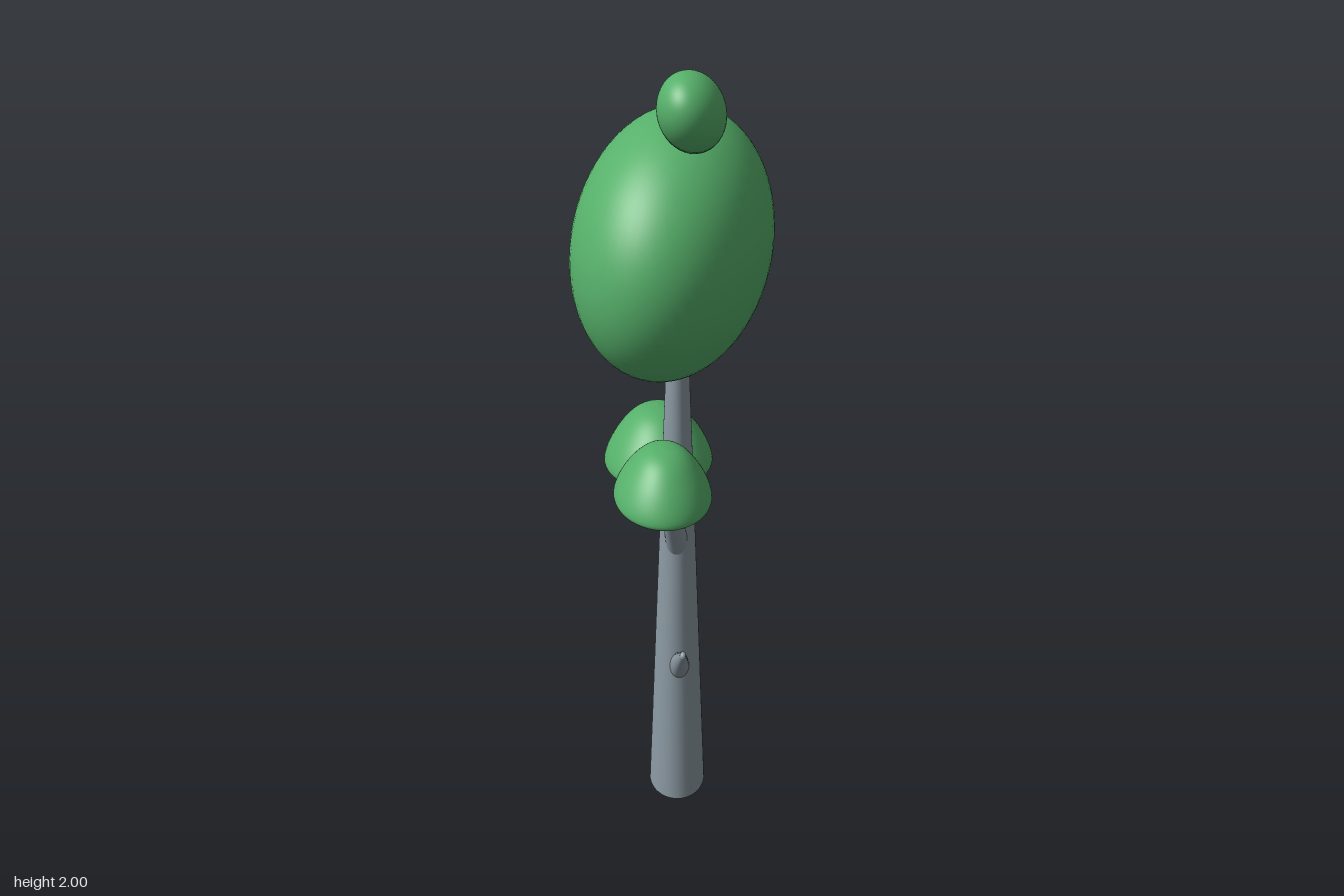
import * as THREE from 'three';

const bark = new THREE.MeshStandardMaterial({ color: 0x8c9aa3 });
const leaf = new THREE.MeshStandardMaterial({ color: 0x56b06a });
const SQUASH = 0.8; // the tree is narrower in x than in z

function add(parent, name, geometry, material) {
  const mesh = new THREE.Mesh(geometry, material);
  mesh.name = name;
  parent.add(mesh);
  return mesh;
}

// Tapered round limb between two points
function limb(parent, name, from, to, r0, r1) {
  const a = new THREE.Vector3(...from), b = new THREE.Vector3(...to);
  const dir = b.clone().sub(a);
  const mesh = add(parent, name, new THREE.CylinderGeometry(r1, r0, dir.length(), 40), bark);
  mesh.position.copy(a).add(b).multiplyScalar(0.5);
  mesh.quaternion.setFromUnitVectors(new THREE.Vector3(0, 1, 0), dir.normalize());
  return mesh;
}

// Leaning ellipsoid: half extents plus the products xy, xz, yz that skew its axes
function crown(parent, name, center, [ex, ey, ez], [xy, xz, yz]) {
  const a = xy / ex, b = xz / ex;
  const c = Math.sqrt(ey * ey - a * a);
  const d = (yz - a * b) / c;
  const e = Math.sqrt(ez * ez - b * b - d * d);
  const geometry = new THREE.SphereGeometry(1, 64, 40);
  geometry.applyMatrix4(new THREE.Matrix4().set(
    ex, 0, 0, 0,
    a, c, 0, 0,
    b, d, e, 0,
    0, 0, 0, 1));
  add(parent, name, geometry, leaf).position.set(...center);
}

// Domed leaf cluster with a soft rim and a flat underside
function leafCap(parent, name, center, radius, height, tiltX, tiltZ) {
  const rim = new THREE.SplineCurve([
    [0.82, 0], [0.95, 0.025], [1, 0.12], [0.93, 0.32], [0.76, 0.58],
    [0.52, 0.83], [0.28, 0.96], [0, 1],
  ].map(([r, y]) => new THREE.Vector2(r * radius, y * height))).getPoints(32);
  rim[rim.length - 1].x = 0;
  const profile = [new THREE.Vector2(0, 0), ...rim];
  const mesh = add(parent, name, new THREE.LatheGeometry(profile, 56), leaf);
  mesh.position.set(...center);
  mesh.rotation.set(tiltX, 0, tiltZ);
}

export function createModel() {
  const model = new THREE.Group();
  model.name = 'tree';

  // Trunk, branches and side foliage, flattened together
  const lower = new THREE.Group();
  lower.name = 'trunkAndBranches';
  lower.scale.x = SQUASH;
  model.add(lower);

  limb(lower, 'trunk', [0.012, 0, 0.031], [0.012, 1.45, 0.031], 0.093, 0.026);
  limb(lower, 'frontBranch', [0.014, 0.765, 0.034], [-0.026, 1.09, 0.247], 0.038, 0.016);
  limb(lower, 'backBranch', [0.012, 0.605, 0.016], [-0.044, 0.91, -0.22], 0.037, 0.017);

  // Short broken twig with a rounded tip
  limb(lower, 'twig', [0.014, 0.385, 0.038], [0.025, 0.565, 0.21], 0.041, 0.01);
  add(lower, 'twigTip', new THREE.SphereGeometry(0.01, 24, 16), bark).position.set(0.025, 0.565, 0.21);

  leafCap(lower, 'frontLeafCap', [-0.036, 1.052, 0.25], 0.139, 0.135, 0, -0.04);
  leafCap(lower, 'backLeafCap', [-0.043, 0.866, -0.2], 0.174, 0.165, -0.12, 0);

  // Main crown and the small one on top
  crown(model, 'mainCrown', [0, 1.573, 0.012], [0.228, 0.295, 0.327], [0.0034, -0.0147, -0.0035]);
  crown(model, 'topCrown', [0.035, 1.912, 0.134], [0.0725, 0.088, 0.101], [-0.0009, -0.00096, 0.0017]);

  return model;
}
